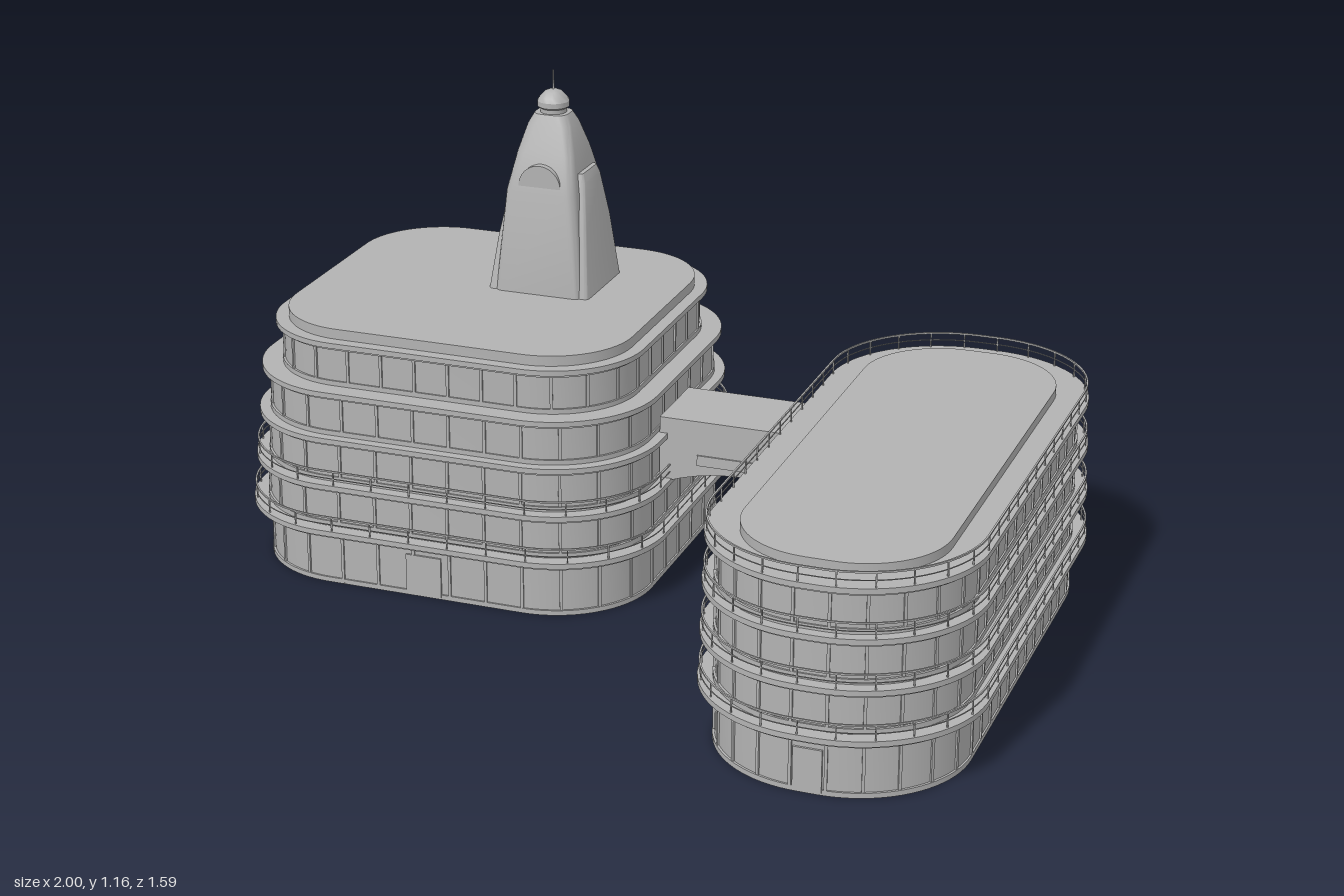
import * as THREE from 'three';
import { mergeGeometries, toCreasedNormals } from 'three/addons/utils/BufferGeometryUtils.js';

const concrete = new THREE.MeshStandardMaterial({ color: 0xb2b2b2 });
concrete.name = 'grey concrete';

// Rounded rectangle with half sizes w, d and corner radius r
function roundedRect(w, d, r, Type = THREE.Shape) {
  const s = new Type();
  r = Math.min(r, w - 0.001, d - 0.001);
  s.moveTo(w, -d + r);
  s.lineTo(w, d - r);
  s.absarc(w - r, d - r, r, 0, Math.PI / 2);
  s.lineTo(-w + r, d);
  s.absarc(-w + r, d - r, r, Math.PI / 2, Math.PI);
  s.lineTo(-w, -d + r);
  s.absarc(-w + r, -d + r, r, Math.PI, Math.PI * 1.5);
  s.lineTo(w - r, -d);
  s.absarc(w - r, -d + r, r, Math.PI * 1.5, Math.PI * 2);
  return s;
}

function add(parent, name, geometry, x = 0, y = 0, z = 0) {
  const mesh = new THREE.Mesh(geometry, concrete);
  mesh.name = name;
  mesh.position.set(x, y, z);
  parent.add(mesh);
  return mesh;
}

// Horizontal slab from y0 to y1
function slabGeometry(shape, y0, y1) {
  const g = new THREE.ExtrudeGeometry(shape, { depth: y1 - y0, bevelEnabled: false, curveSegments: 10 });
  g.rotateX(-Math.PI / 2);
  g.translate(0, y0, 0);
  return toCreasedNormals(g, 0.5);
}

function ringGeometry(w, d, r, t, y0, y1) {
  const shape = roundedRect(w, d, r);
  shape.holes.push(roundedRect(w - t, d - t, r - t, THREE.Path));
  return slabGeometry(shape, y0, y1);
}

// Small upright bars spaced round a rounded rectangle
function uprights(w, d, r, count, width, depth, y0, y1) {
  const pts = roundedRect(w, d, r).getSpacedPoints(count);
  const bars = [];
  for (let i = 0; i < count; i++) {
    const a = pts[(i + count - 1) % count], b = pts[(i + 1) % count];
    const g = new THREE.BoxGeometry(width, y1 - y0, depth);
    g.rotateY(Math.atan2(b.y - a.y, b.x - a.x));
    g.translate(pts[i].x, (y0 + y1) / 2, -pts[i].y);
    bars.push(g);
  }
  return mergeGeometries(bars);
}

// Storeys: [wall w, wall d, wall r, slab w, slab d, slab r, y0, y1, has railing]
function building(name, storeys, bays) {
  const group = new THREE.Group();
  group.name = name;
  for (const [w, d, r, sw, sd, sr, y0, y1, railing] of storeys) {
    add(group, 'storeyWall', slabGeometry(roundedRect(w, d, r), y0, y1 - 0.018));
    add(group, 'windowMullions', uprights(w, d, r, bays, 0.007, 0.008, y0, y1 - 0.018));
    add(group, 'windowSill', ringGeometry(w + 0.004, d + 0.004, r, 0.012, y0, y0 + 0.012));
    add(group, 'slabUnderside', slabGeometry(roundedRect(sw - 0.01, sd - 0.01, sr - 0.01), y1 - 0.02, y1 - 0.013));
    add(group, 'floorSlab', slabGeometry(roundedRect(sw, sd, sr), y1 - 0.013, y1));
    if (railing) {
      const [rw, rd, rr] = [sw - 0.003, sd - 0.003, sr - 0.003];
      add(group, 'topRail', ringGeometry(rw, rd, rr, 0.004, y1 + 0.033, y1 + 0.037));
      add(group, 'middleRail', ringGeometry(rw, rd, rr, 0.002, y1 + 0.016, y1 + 0.018));
      add(group, 'railPosts', uprights(rw - 0.002, rd - 0.002, rr, bays, 0.003, 0.003, y1, y1 + 0.034));
    }
  }
  return group;
}

// Solid through stacked rounded sections [y, half width, half depth, radius, offset x]
function loft(sections) {
  const pos = [], index = [];
  const n = 24;
  for (const [y, w, d, r, ox = 0] of sections) {
    for (let i = 0; i < n; i++) {
      const q = Math.floor(i / 6), a = (q + (i % 6) / 5) * Math.PI / 2;
      const sx = q === 0 || q === 3 ? 1 : -1, sz = q < 2 ? 1 : -1;
      pos.push(ox + sx * (w - r) + r * Math.cos(a), y, sz * (d - r) + r * Math.sin(a));
    }
  }
  for (let k = 0; k < sections.length - 1; k++) {
    for (let i = 0; i < n; i++) {
      const a = k * n + i, b = k * n + (i + 1) % n;
      index.push(a, a + n, b, b, a + n, b + n);
    }
  }
  const top = (sections.length - 1) * n;
  for (let i = 1; i < n - 1; i++) {
    index.push(top, top + i + 1, top + i, 0, i, i + 1);
  }
  const g = new THREE.BufferGeometry();
  g.setAttribute('position', new THREE.Float32BufferAttribute(pos, 3));
  g.setIndex(index);
  return toCreasedNormals(g.toNonIndexed(), 0.5);
}

function createTower() {
  const tower = new THREE.Group();
  tower.name = 'tower';
  add(tower, 'towerBody', loft([
    [0, 0.112, 0.12, 0.02], [0.25, 0.09, 0.102, 0.025], [0.34, 0.073, 0.072, 0.025],
    [0.405, 0.055, 0.048, 0.025], [0.43, 0.042, 0.038, 0.025],
  ]));
  // Tapering side buttresses, the one on the left side taller
  for (const [side, h] of [[1, 0.295], [-1, 0.24]]) {
    add(tower, 'sideButtress', loft([
      [0, 0.03, 0.113, 0.012, side * 0.1], [h * 0.55, 0.027, 0.085, 0.012, side * 0.088],
      [h * 0.93, 0.02, 0.057, 0.012, side * 0.081], [h, 0.014, 0.05, 0.01, side * 0.079],
    ]));
  }
  // Round faces at front and back
  const disc = new THREE.CylinderGeometry(0.054, 0.054, 0.194, 32);
  disc.rotateX(Math.PI / 2);
  add(tower, 'roundFaces', disc, 0, 0.265, 0);
  // Cap, dome and spire
  const profile = [[0, 0.42], [0.032, 0.42], [0.032, 0.44], [0.039, 0.445], [0.039, 0.458],
    [0.033, 0.468], [0.02, 0.481], [0.008, 0.486], [0, 0.486]];
  const dome = new THREE.LatheGeometry(profile.map(p => new THREE.Vector2(...p)), 24);
  add(tower, 'dome', toCreasedNormals(dome.toNonIndexed(), 0.5));
  add(tower, 'spire', new THREE.CylinderGeometry(0.0015, 0.003, 0.05, 8), 0, 0.508, 0);
  return tower;
}

function createBridge() {
  const bridge = new THREE.Group();
  bridge.name = 'bridge';
  const s = new THREE.Shape();
  s.moveTo(0, 0.25);
  s.quadraticCurveTo(0.2, 0.335, 0.4, 0.25);
  s.lineTo(0.4, 0.265);
  s.lineTo(0.4, 0.42);
  s.lineTo(0, 0.42);
  s.closePath();
  const g = new THREE.ExtrudeGeometry(s, { depth: 0.204, bevelEnabled: false, curveSegments: 16 });
  add(bridge, 'archedSpan', toCreasedNormals(g, 0.5), 0.015, 0, -0.35);
  for (const z of [-0.351, -0.145]) {
    add(bridge, 'bridgePanel', new THREE.BoxGeometry(0.22, 0.026, 0.006), 0.22, 0.322, z);
  }
  return bridge;
}

export function createModel() {
  const model = new THREE.Group();
  model.name = 'twoBuildingsWithTower';

  // Square building with set-back top storey
  const square = building('squareBuilding', [
    [0.487, 0.452, 0.24, 0.527, 0.494, 0.27, 0, 0.15, true],
    [0.49, 0.456, 0.24, 0.518, 0.485, 0.265, 0.15, 0.265, true],
    [0.485, 0.452, 0.24, 0.508, 0.475, 0.26, 0.265, 0.38, false],
    [0.48, 0.446, 0.24, 0.5, 0.465, 0.255, 0.38, 0.493, false],
    [0.447, 0.412, 0.21, 0.465, 0.43, 0.225, 0.493, 0.605, false],
  ], 36);
  square.position.set(-0.473, 0, -0.304);
  add(square, 'roofBlock', slabGeometry(roundedRect(0.435, 0.4, 0.2), 0.605, 0.63));
  add(square, 'frontDoor', new THREE.BoxGeometry(0.09, 0.1, 0.008), 0, 0.055, 0.453);
  model.add(square);

  // Long building with rounded ends
  const storeys = [0, 0.15, 0.265, 0.38, 0.493];
  const long = building('longBuilding', storeys.slice(0, 4).map((y, i) => {
    const shrink = i * 0.004;
    return [0.283, 0.698, 0.265, 0.321 - shrink, 0.735 - shrink, 0.3 - shrink, y, storeys[i + 1], true];
  }), 44);
  long.position.set(0.675, 0, 0.055);
  add(long, 'roofBlock', slabGeometry(roundedRect(0.23, 0.645, 0.2), 0.493, 0.515));
  add(long, 'frontDoor', new THREE.BoxGeometry(0.065, 0.1, 0.008), 0, 0.055, 0.699);
  model.add(long);

  model.add(createBridge());
  const tower = createTower();
  tower.position.set(-0.357, 0.63, -0.413);
  model.add(tower);
  return model;
}
